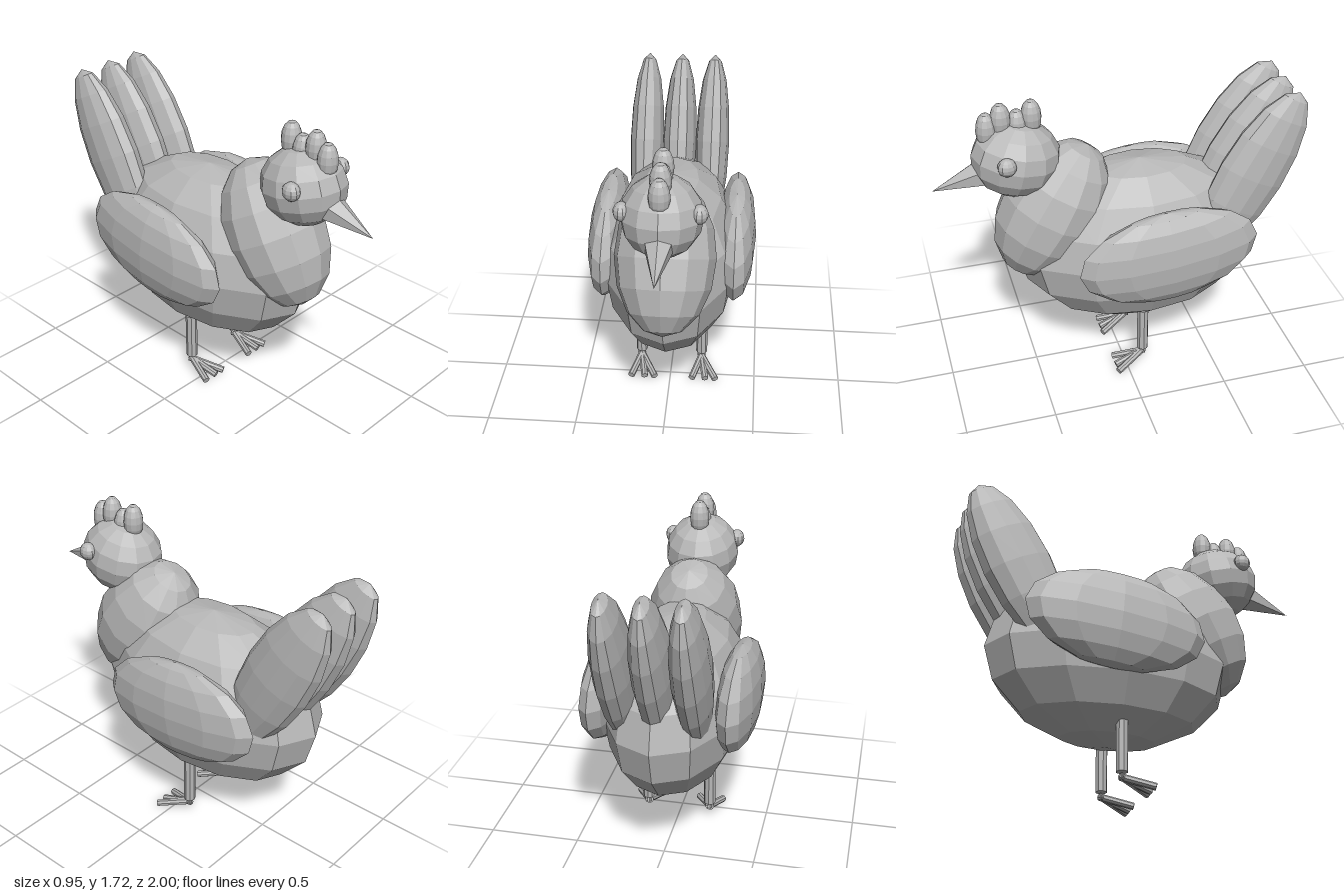
import * as THREE from 'three';

const grey = new THREE.MeshStandardMaterial({ color: 0xb8b8b8, flatShading: true });
grey.name = 'plain grey';

export function createModel() {
  const model = new THREE.Group();
  model.name = 'hen';

  const add = (name, geometry) => {
    const mesh = new THREE.Mesh(geometry, grey);
    mesh.name = name;
    model.add(mesh);
    return mesh;
  };

  // Faceted ellipsoid: centre, radii, and tilt about the x axis
  const ellipsoid = (name, centre, radii, tilt = 0, sides = 12, rings = 8) => {
    const mesh = add(name, new THREE.SphereGeometry(1, sides, rings));
    mesh.position.set(...centre);
    mesh.scale.set(...radii);
    mesh.rotation.x = tilt;
    return mesh;
  };

  // Straight tapered rod between two points
  const rod = (name, from, to, r0, r1, sides = 8) => {
    const a = new THREE.Vector3(...from), b = new THREE.Vector3(...to);
    const mesh = add(name, new THREE.CylinderGeometry(r1, r0, a.distanceTo(b), sides));
    mesh.position.copy(a).lerp(b, 0.5);
    mesh.quaternion.setFromUnitVectors(new THREE.Vector3(0, 1, 0), b.sub(a).normalize());
    return mesh;
  };

  // Body, neck and head
  ellipsoid('body', [0, 0.79, -0.12], [0.385, 0.5, 0.7]);
  ellipsoid('neck', [0, 1.05, 0.37], [0.27, 0.42, 0.29], -0.52);
  ellipsoid('head', [0, 1.4, 0.55], [0.21, 0.21, 0.24], -0.2);

  // Beak
  rod('beak', [0, 1.345, 0.7], [0, 1.265, 1.0], 0.09, 0, 6);

  // Comb: four lobes of alternating height
  [[0.695, 1.58], [0.62, 1.625], [0.535, 1.58], [0.46, 1.625]].forEach(([z, y], i) =>
    ellipsoid(`combLobe${i + 1}`, [0, y, z], [0.055, 0.1, 0.055]));

  // Tail feathers, leaning back
  [-0.195, 0, 0.195].forEach((x, i) =>
    ellipsoid(`tailFeather${i + 1}`, [x, 1.2, -0.7], [0.1, 0.52, 0.2], -0.48));

  // Paired parts
  for (const [side, s] of [['left', 1], ['right', -1]]) {
    ellipsoid(`${side}Eye`, [s * 0.19, 1.46, 0.63], [0.043, 0.05, 0.05], 0, 10, 8);
    ellipsoid(`${side}Wing`, [s * 0.36, 0.87, -0.19], [0.115, 0.28, 0.5], 0.1);
    rod(`${side}Leg`, [s * 0.18, 0.1, -0.1], [s * 0.18, 0.38, -0.1], 0.033, 0.033);
    // Toes fan forward from the ankle, both feet turned the same way
    [-0.05, 0.03, 0.09].forEach((dx, i) =>
      rod(`${side}Toe${i + 1}`, [s * 0.18 - dx * 0.1, 0.075, -0.11],
        [s * 0.18 + dx, 0.023, 0.07], 0.02, 0.02));
  }
  return model;
}
